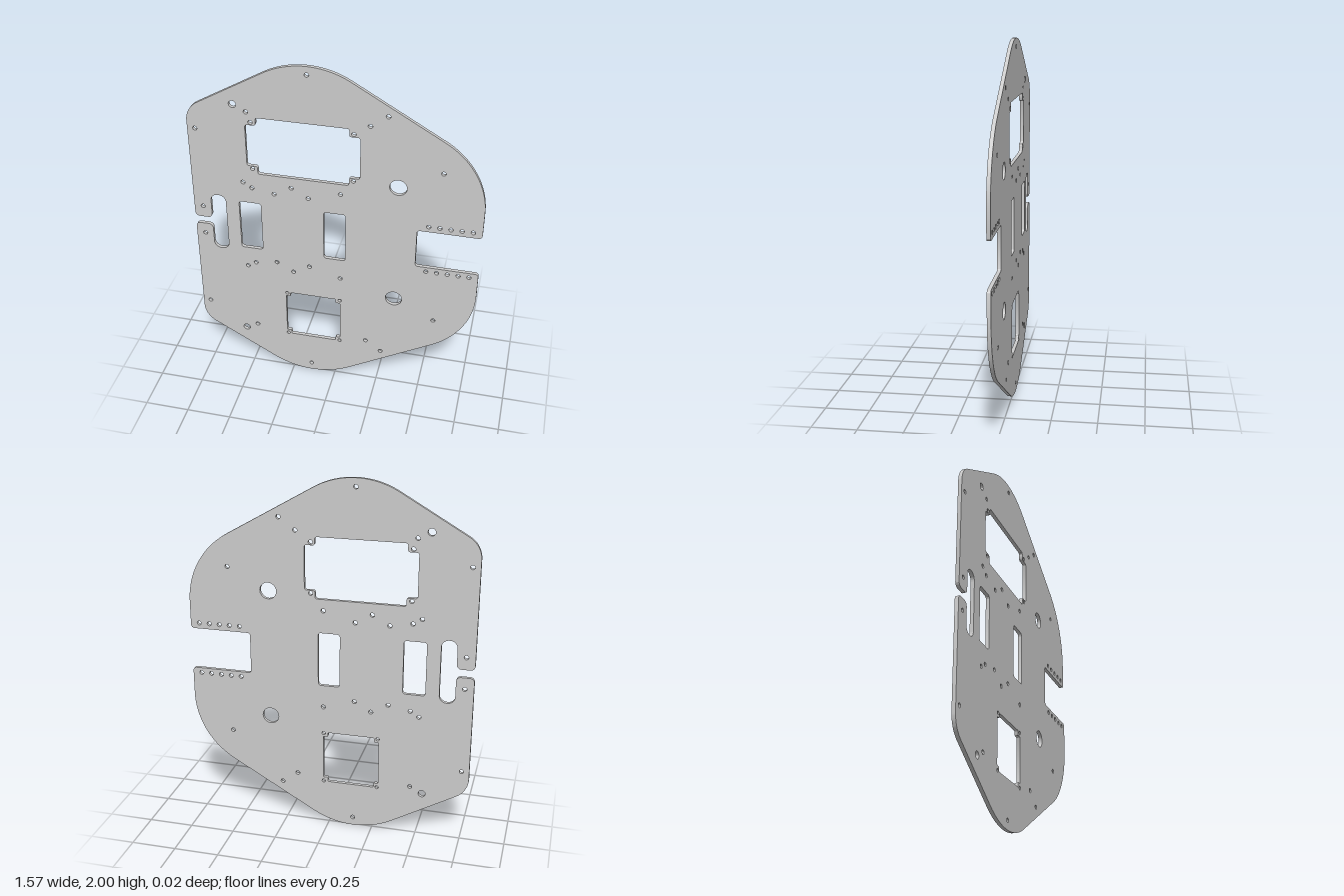
import * as THREE from 'three';
import { toCreasedNormals } from 'three/addons/utils/BufferGeometryUtils.js';

const THICKNESS = 0.02;

// Trace a closed polygon of [x, y, radius] corners, each rounded by a tangent arc.
function trace(path, corners) {
  const n = corners.length;
  const at = (i) => new THREE.Vector2(...corners[(i + n) % n].slice(0, 2));
  for (let i = 0; i < n; i++) {
    const p = at(i), r = corners[i][2];
    const u = at(i - 1).sub(p).normalize();
    const v = at(i + 1).sub(p).normalize();
    const half = Math.acos(u.dot(v)) / 2;
    const d = r / Math.tan(half);
    const c = p.clone().add(u.clone().add(v).setLength(r / Math.sin(half)));
    const a = p.clone().addScaledVector(u, d);
    const b = p.clone().addScaledVector(v, d);
    if (i === 0) path.moveTo(a.x, a.y);
    path.absarc(c.x, c.y, r, Math.atan2(a.y - c.y, a.x - c.x),
      Math.atan2(b.y - c.y, b.x - c.x), u.cross(v) > 0);
  }
  path.closePath();
  return path;
}

// Rectangular window; tabX/tabY leave square screw tabs standing in the corners.
function windowHole(x0, x1, y0, y1, r, tabX = 0, tabY = 0) {
  if (!tabX) return trace(new THREE.Path(), [[x0, y0, r], [x1, y0, r], [x1, y1, r], [x0, y1, r]]);
  return trace(new THREE.Path(), [
    [x0 + tabX, y0, r], [x1 - tabX, y0, r], [x1 - tabX, y0 + tabY, r], [x1, y0 + tabY, r],
    [x1, y1 - tabY, r], [x1 - tabX, y1 - tabY, r], [x1 - tabX, y1, r], [x0 + tabX, y1, r],
    [x0 + tabX, y1 - tabY, r], [x0, y1 - tabY, r], [x0, y0 + tabY, r], [x0 + tabX, y0 + tabY, r],
  ]);
}

function roundHole(x, y, r) {
  return new THREE.Path().absarc(x, y, r, 0, Math.PI * 2, true);
}

export function createModel() {
  // Upper half of the outline, measured from the mid-height line, then mirrored
  const upper = [
    [0.445, 0.1175, 0.015], [0.787, 0.1175, 0.02],                        // right notch
    [0.787, 0.535, 0.45], [-0.14, 1.07, 0.45], [-0.787, 0.696, 0.13],     // outer rim
    [-0.787, 0.0225, 0.025], [-0.69, 0.0225, 0.025],                      // hook finger
    [-0.69, 0.178, 0.04], [-0.605, 0.178, 0.04],                          // left slot
  ];
  const lower = upper.map(([x, y, r]) => [x, -y, r]).reverse();
  const shape = trace(new THREE.Shape(), [...upper, ...lower].map(([x, y, r]) => [x, y + 1, r]));

  // Windows
  shape.holes.push(
    windowHole(-0.472, 0.134, 1.345, 1.682, 0.012, 0.058, 0.046),
    windowHole(-0.283, 0.032, 0.26, 0.567, 0.006, 0.026, 0.026),
    windowHole(-0.53, -0.407, 0.85, 1.155, 0.015),
    windowHole(-0.06, 0.06, 0.85, 1.155, 0.015),
  );

  // Screw and cable holes, repeated above and below mid-height
  const small = 0.012;
  const mirrored = [
    [0.336, 0.367, 0.046], [-0.532, 0.745, 0.02],
    [-0.14, 0.953], [-0.463, 0.709], [0.183, 0.709], [0.272, 0.774],
    [-0.745, 0.578], [0.563, 0.484], [-0.738, 0.09],
    [-0.5, 0.28], [-0.452, 0.25], [-0.235, 0.28], [-0.33, 0.228], [-0.143, 0.228], [0.032, 0.28],
  ];
  for (let i = 0; i < 5; i++) mirrored.push([0.505 + i * 0.0583, 0.148]);
  for (const [x, y, r = small] of mirrored) {
    for (const s of [1, -1]) shape.holes.push(roundHole(x, 1.002 + s * y, r));
  }

  // Screw holes in the window corner tabs
  for (const x of [-0.442, 0.1]) {
    for (const y of [1.375, 1.653]) shape.holes.push(roundHole(x, y, small));
  }
  for (const x of [-0.276, 0.03]) {
    for (const y of [0.262, 0.562]) shape.holes.push(roundHole(x, y, 0.01));
  }

  const geometry = new THREE.ExtrudeGeometry(shape, {
    depth: THICKNESS, bevelEnabled: false, curveSegments: 10,
  });
  geometry.translate(0, 0, -THICKNESS / 2);

  const plate = new THREE.Mesh(
    toCreasedNormals(geometry, Math.PI / 5),
    new THREE.MeshStandardMaterial({ color: 0xcccccc }),
  );
  plate.name = 'chassisPlate';

  const model = new THREE.Group();
  model.name = 'robotBasePlate';
  model.add(plate);
  return model;
}
